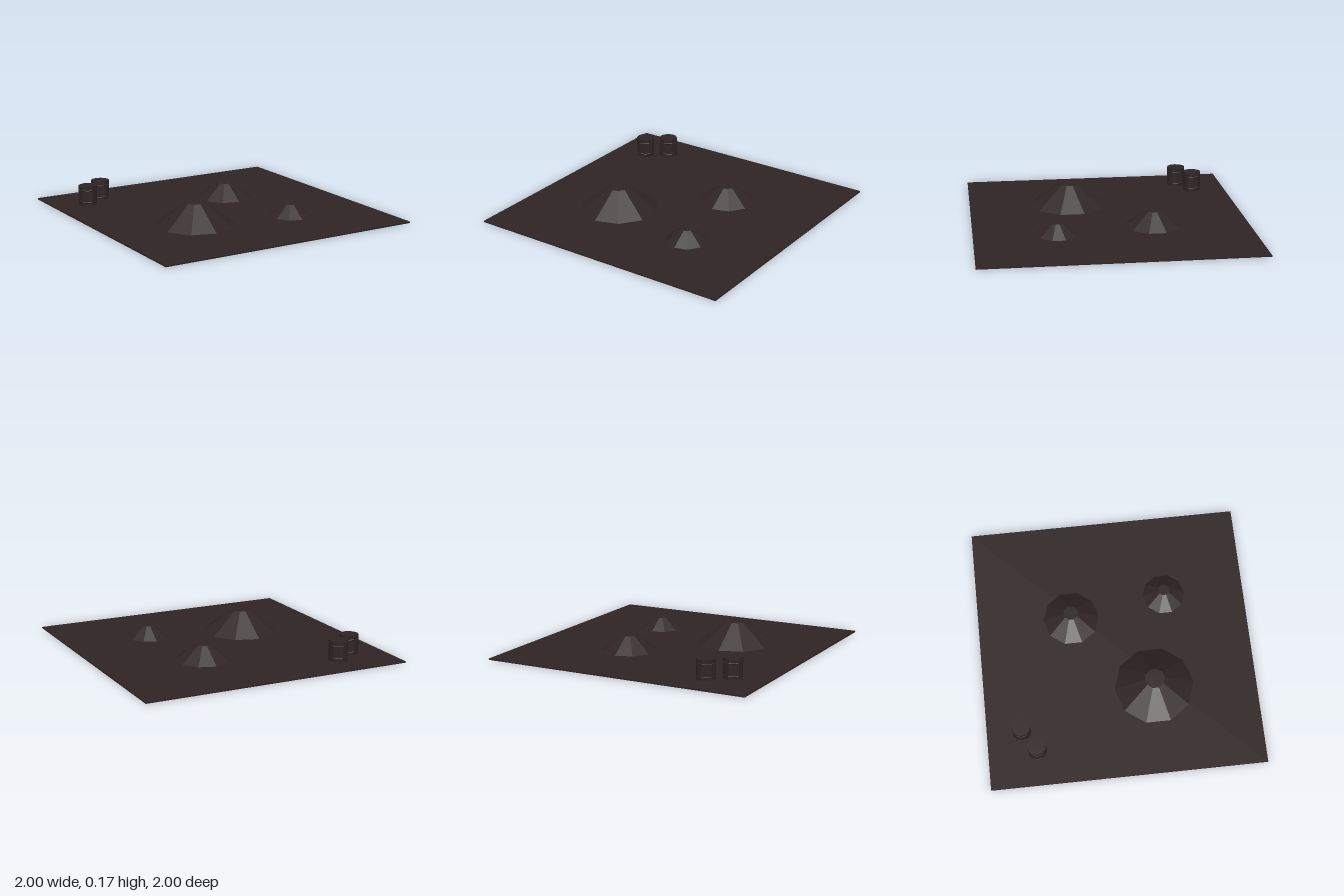
import * as THREE from 'three';

export function createModel() {
  const model = new THREE.Group();
  const darkEarth = new THREE.MeshStandardMaterial({ color: 0x2e2423, flatShading: true });
  darkEarth.name = 'darkEarth';
  const groundTop = 0.01;

  function add(parent, name, geometry, x, y, z) {
    const mesh = new THREE.Mesh(geometry, darkEarth);
    mesh.name = name;
    mesh.position.set(x, y, z);
    parent.add(mesh);
  }

  // Thin square ground slab
  add(model, 'ground', new THREE.BoxGeometry(2, groundTop, 2), 0, groundTop / 2, 0);

  // Ten-sided flat-topped mounds: x, z, base radius, top radius, top height
  const mounds = [
    [-0.34, 0.25, 0.292, 0.074, 0.17],
    [0.25, -0.307, 0.208, 0.055, 0.12],
    [0.37, 0.403, 0.157, 0.042, 0.095],
  ];
  mounds.forEach(([x, z, base, top, topY], i) => {
    const height = topY - groundTop;
    add(model, `mound${i + 1}`, new THREE.CylinderGeometry(top, base, height, 10),
      x, groundTop + height / 2, z);
  });

  // Two barrels, each with a pair of thin hoops
  [[-0.747, -0.645], [-0.595, -0.746]].forEach(([x, z], i) => {
    const barrel = new THREE.Group();
    barrel.name = `barrel${i + 1}`;
    barrel.position.set(x, groundTop, z);
    add(barrel, 'barrelBody', new THREE.CylinderGeometry(0.068, 0.068, 0.145, 12), 0, 0.0725, 0);
    for (const y of [0.025, 0.115]) {
      const hoop = new THREE.TorusGeometry(0.068, 0.003, 4, 12).rotateX(Math.PI / 2);
      add(barrel, 'barrelHoop', hoop, 0, y, 0);
    }
    model.add(barrel);
  });

  return model;
}
